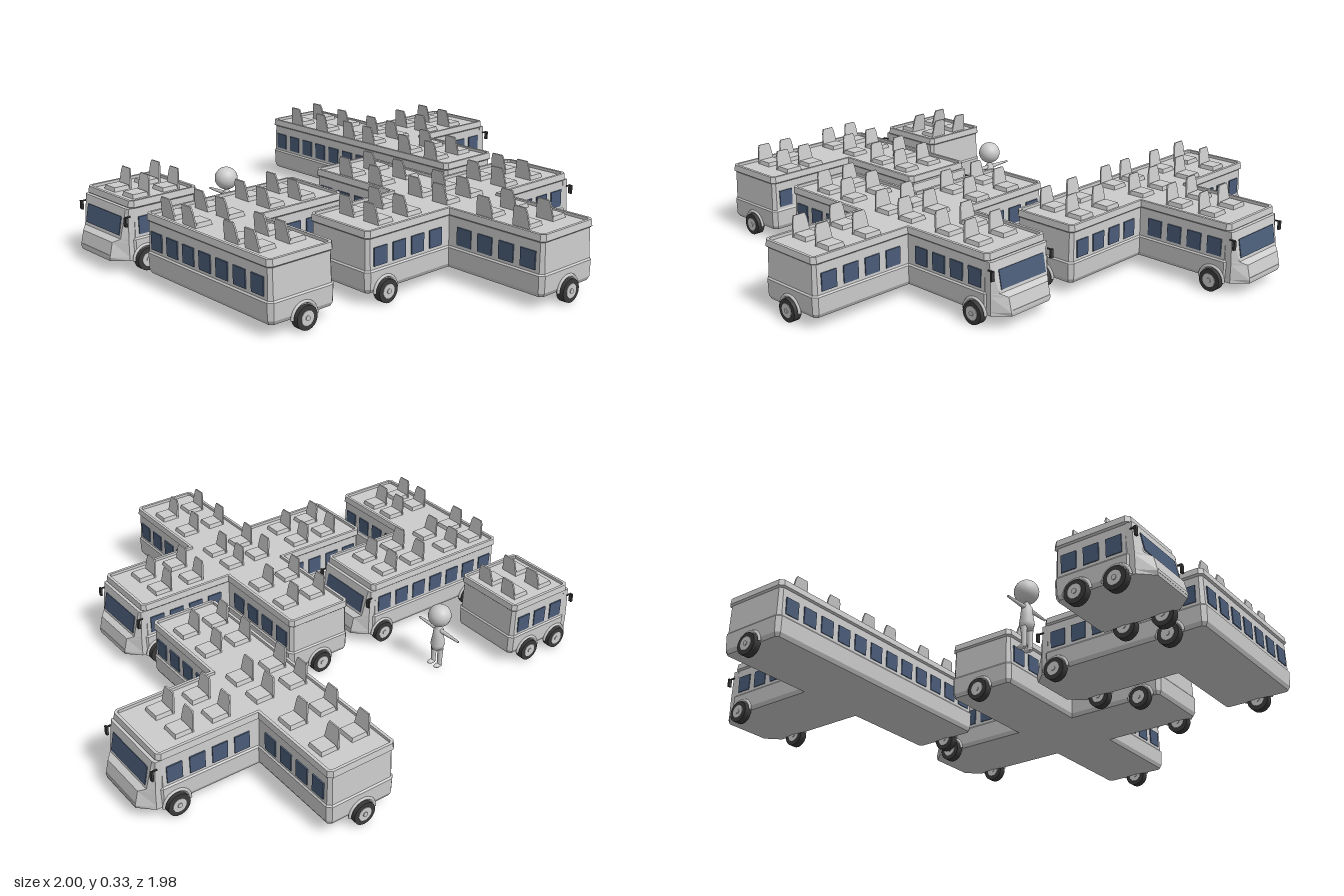
import * as THREE from 'three';

const mat = (color, extra = {}) => new THREE.MeshStandardMaterial({ color, ...extra });
const grey = mat(0xcccccc), flat = mat(0xcccccc, { flatShading: true });
const glass = mat(0x4a5c78), rubber = mat(0x3a3a3a);

function add(parent, name, geo, material, x = 0, y = 0, z = 0) {
  const m = new THREE.Mesh(geo, material);
  m.name = name;
  m.position.set(x, y, z);
  parent.add(m);
  return m;
}

// Outline of a bar along x crossed by an arm along z, without doubled or in-line points
function crossOutline(x0, x1, z0, z1, u0, u1, w0, w1) {
  const same = (a, b) => Math.hypot(a[0] - b[0], a[1] - b[1]) < 1e-6;
  const pts = [[u0, w0], [u1, w0], [u1, z0], [x1, z0], [x1, z1], [u1, z1],
    [u1, w1], [u0, w1], [u0, z1], [x0, z1], [x0, z0], [u0, z0]]
    .filter((p, i, all) => !same(p, all[(i + 1) % all.length]));
  return pts.filter((p, i) => {
    const a = pts[(i + pts.length - 1) % pts.length], b = pts[(i + 1) % pts.length];
    return Math.abs((p[0] - a[0]) * (b[1] - p[1]) - (p[1] - a[1]) * (b[0] - p[0])) > 1e-6;
  });
}

// Move every edge of an outline inwards by d
function inset(pts, d) {
  const n = pts.length;
  const normal = (a, b) => {
    const l = Math.hypot(b[0] - a[0], b[1] - a[1]);
    return [(b[1] - a[1]) / l, (a[0] - b[0]) / l];
  };
  return pts.map((p, i) => {
    const u = normal(pts[(i + n - 1) % n], p), v = normal(p, pts[(i + 1) % n]);
    const k = d / (1 + u[0] * v[0] + u[1] * v[1]);
    return [p[0] - (u[0] + v[0]) * k, p[1] - (u[1] + v[1]) * k];
  });
}

// Cut the outer corners of a right-angled outline
function chamfer(pts, c) {
  const n = pts.length, out = [];
  pts.forEach((p, i) => {
    const a = pts[(i + n - 1) % n], b = pts[(i + 1) % n];
    const turn = (p[0] - a[0]) * (b[1] - p[1]) - (p[1] - a[1]) * (b[0] - p[0]);
    if (turn <= 0) return out.push(p);
    for (const q of [a, b]) {
      const l = Math.hypot(q[0] - p[0], q[1] - p[1]);
      out.push([p[0] + (q[0] - p[0]) / l * c, p[1] + (q[1] - p[1]) / l * c]);
    }
  });
  return out;
}

// Skin between stacked outlines { y, pts }, capped at both ends
function loft(rings) {
  const pos = [];
  const put = (r, p) => pos.push(p[0], r.y, p[1]);
  for (let k = 0; k + 1 < rings.length; k++) {
    const lo = rings[k], hi = rings[k + 1], n = lo.pts.length;
    for (let i = 0; i < n; i++) {
      const j = (i + 1) % n;
      put(lo, lo.pts[i]); put(hi, hi.pts[i]); put(hi, hi.pts[j]);
      put(lo, lo.pts[i]); put(hi, hi.pts[j]); put(lo, lo.pts[j]);
    }
  }
  const cap = (r, up) => {
    const v = r.pts.map(p => new THREE.Vector2(p[0], p[1]));
    for (const [a, b, c] of THREE.ShapeUtils.triangulateShape(v, [])) {
      const isUp = THREE.ShapeUtils.area([v[a], v[b], v[c]]) < 0;
      for (const q of isUp === up ? [a, b, c] : [a, c, b]) put(r, r.pts[q]);
    }
  };
  cap(rings[0], false);
  cap(rings[rings.length - 1], true);
  const g = new THREE.BufferGeometry();
  g.setAttribute('position', new THREE.Float32BufferAttribute(pos, 3));
  g.computeVertexNormals();
  return g;
}

// Body wall from sill to cornice, then down to the sunken roof: [y, inset]
const wall = [[0.045, 0.01], [0.06, 0.002], [0.122, 0], [0.128, 0.005], [0.238, 0.008],
  [0.244, 0.001], [0.268, 0.004], [0.268, 0.015], [0.257, 0.015]];
// Nose: [y, reach, half width at the tip]
const noseRows = [[0.045, 0.062, 0.095], [0.06, 0.065, 0.1], [0.115, 0.052, 0.1],
  [0.128, 0.03, 0.122], [0.24, 0.008, 0.132]];

const backShape = new THREE.Shape([[-0.038, 0], [0.038, 0], [0.03, 0.06], [0.024, 0.076],
  [-0.024, 0.076], [-0.03, 0.06]].map(p => new THREE.Vector2(...p)));
const backGeo = new THREE.ExtrudeGeometry(backShape, { depth: 0.006, bevelEnabled: false });
const cushionGeo = new THREE.CylinderGeometry(0.042, 0.046, 0.016, 4, 1).rotateY(Math.PI / 4);

function seat(parent, x, z, dir) {
  const s = new THREE.Group();
  s.name = 'seat';
  s.position.set(x, 0.257, z);
  if (dir < 0) s.rotation.y = Math.PI;
  add(s, 'cushion', cushionGeo, flat, 0.005, 0.008, 0).scale.z = 1.1;
  const back = add(s, 'seatBack', backGeo, grey, -0.033, 0, 0);
  back.rotation.set(0, Math.PI / 2, 0.14, 'ZYX');
  parent.add(s);
}

function wheel(parent, x, z, side) {
  const w = new THREE.Group();
  w.name = 'wheel';
  w.position.set(x, 0.043, z);
  if (side < 0) w.rotation.y = Math.PI;
  const disc = (r, d) => new THREE.CylinderGeometry(r, r, d, 24).rotateX(Math.PI / 2);
  add(w, 'tyre', disc(0.043, 0.03), rubber);
  add(w, 'rim', disc(0.026, 0.034), grey);
  add(w, 'hub', disc(0.009, 0.04), grey);
  add(w, 'wheelArch', new THREE.TorusGeometry(0.052, 0.006, 6, 20, Math.PI), grey);
  parent.add(w);
}

function cab(parent, x, z, dir) {
  const g = new THREE.Group();
  g.name = 'cab';
  g.position.set(x, 0, z);
  if (dir < 0) g.rotation.y = Math.PI;
  add(g, 'nose', loft(noseRows.map(([y, t, h]) => {
    const b = Math.min(0.01, t - 0.004);
    return { y, pts: [[-0.02, -0.145], [b, -0.145], [t, -h], [t, h], [b, 0.145], [-0.02, 0.145]] };
  })), flat);
  add(g, 'windscreen', new THREE.BoxGeometry(0.006, 0.07, 0.225), glass, 0.021, 0.174, 0).rotation.z = 0.194;
  add(g, 'bumper', new THREE.BoxGeometry(0.008, 0.012, 0.19), grey, 0.061, 0.062, 0);
  for (const s of [-1, 1]) {
    add(g, 'mirrorArm', new THREE.BoxGeometry(0.025, 0.005, 0.005), rubber, 0.012, 0.212, s * 0.147);
    add(g, 'mirror', new THREE.BoxGeometry(0.008, 0.034, 0.014), rubber, 0.022, 0.196, s * 0.15);
  }
  parent.add(g);
}

// Windows along every wall except the short end walls
function windows(parent, pts) {
  pts.forEach((a, i) => {
    const b = pts[(i + 1) % pts.length];
    const dx = b[0] - a[0], dz = b[1] - a[1], len = Math.hypot(dx, dz);
    const alongX = Math.abs(dx) > Math.abs(dz);
    if (len < (alongX ? 0.295 : 0.32)) return;
    const n = Math.round((len - 0.06) / 0.085), pitch = (len - 0.04) / n, w = pitch * 0.68;
    for (let k = 0; k < n; k++) {
      const t = (0.02 + (k + 0.5) * pitch) / len;
      const x = a[0] + dx * t - dz / len * 0.005, z = a[1] + dz * t + dx / len * 0.005;
      add(parent, 'window', new THREE.BoxGeometry(alongX ? w : 0.006, 0.066, alongX ? 0.006 : w), glass, x, 0.172, z);
    }
  });
}

// A bus is a bar along x (x0 to x1 at z) with an optional arm along z (w0 to w1 at u)
function bus({ name, dir = 1, bar: [x0, x1, z], arm, seatX, seatZ = [], wheelX }) {
  const g = new THREE.Group();
  g.name = name;
  const z0 = z - 0.152, z1 = z + 0.152;
  const cross = arm ? [arm[0] - 0.14, arm[0] + 0.14, arm[1] ?? z0, arm[2] ?? z1] : [x0, x1, z0, z1];
  const outline = crossOutline(x0, x1, z0, z1, ...cross);
  const corners = chamfer(outline, 0.016);
  add(g, 'body', loft(wall.map(([y, d]) => ({ y, pts: inset(corners, d) }))), flat);
  windows(g, outline);
  cab(g, dir > 0 ? x1 : x0, z, dir);
  for (const s of [-1, 1]) {
    for (const x of seatX) seat(g, x, z + s * 0.062, dir);
    for (const sz of seatZ) seat(g, arm[0] + s * 0.063, sz, dir);
    for (const x of wheelX) wheel(g, x, s < 0 ? z0 : z1, s);
    if (arm) wheel(g, arm[0], s < 0 ? cross[2] : cross[3], s);
  }
  return g;
}

const buses = [
  { name: 'smallBus', dir: -1, bar: [-0.935, -0.635, -0.45], seatX: [-0.85, -0.72], wheelX: [-0.88, -0.73] },
  { name: 'cornerBus', bar: [-0.965, -0.295, -0.014], arm: [-0.825, null, 0.53],
    seatX: [-0.89, -0.75, -0.57, -0.425], seatZ: [0.28, 0.39], wheelX: [-0.35] },
  { name: 'crossBus', bar: [-0.555, 0.515, 0.387], arm: [-0.018, -0.19, 0.965],
    seatX: [-0.42, -0.28, -0.08, 0.045, 0.24, 0.385], seatZ: [-0.05, 0.115, 0.665, 0.83], wheelX: [-0.47, 0.455] },
  { name: 'teeBus', bar: [0.26, 0.935, -0.424], arm: [0.4, -0.97, 0.13],
    seatX: [0.33, 0.47, 0.65, 0.795], seatZ: [-0.84, -0.67, -0.15, 0], wheelX: [0.87] },
];

function figure() {
  const g = new THREE.Group();
  g.name = 'figure';
  g.position.set(-0.41, 0, -0.43);
  add(g, 'head', new THREE.SphereGeometry(0.045, 24, 16), grey, 0, 0.228, 0);
  const torso = [[0, 0.075], [0.022, 0.078], [0.028, 0.1], [0.022, 0.14], [0.02, 0.165], [0.009, 0.18], [0.009, 0.2]];
  add(g, 'torso', new THREE.LatheGeometry(torso.map(p => new THREE.Vector2(...p)), 16), grey);
  for (const s of [-1, 1]) {
    add(g, 'arm', new THREE.CylinderGeometry(0.004, 0.009, 0.1, 10), grey, 0, 0.164, s * 0.062).rotation.x = s * Math.PI / 2;
    add(g, 'leg', new THREE.CylinderGeometry(0.012, 0.009, 0.08, 12), grey, 0, 0.045, s * 0.018);
    add(g, 'foot', new THREE.SphereGeometry(0.012, 12, 8), grey, 0.008, 0.009, s * 0.018).scale.set(1.7, 0.75, 0.9);
  }
  return g;
}

export function createModel() {
  const model = new THREE.Group();
  model.name = 'busFleet';
  for (const spec of buses) model.add(bus(spec));
  model.add(figure());
  return model;
}
